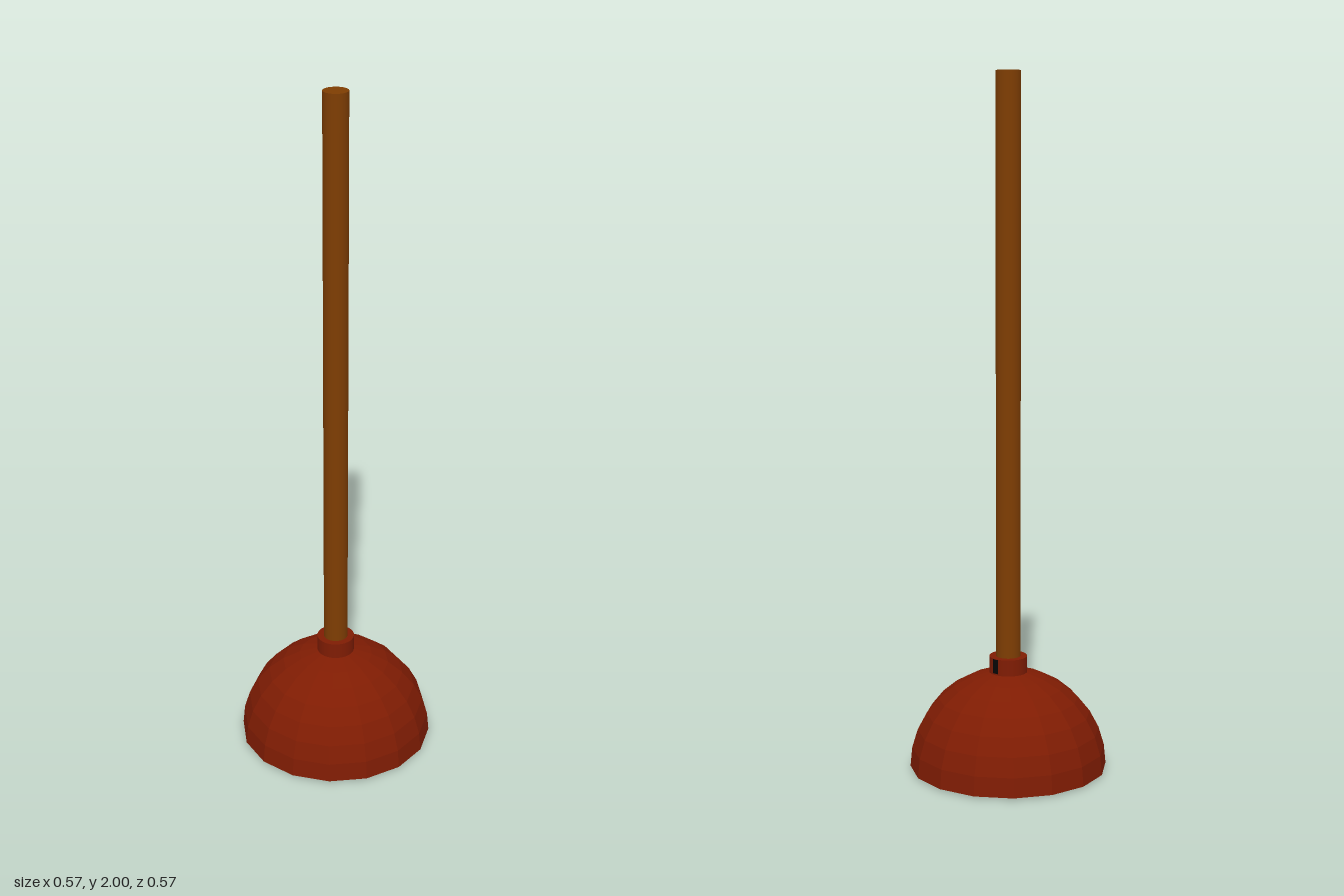
import * as THREE from 'three';

export function createModel() {
  const model = new THREE.Group();
  const paint = (name, color) => {
    const material = new THREE.MeshStandardMaterial({ color });
    material.name = name;
    return material;
  };
  const rubber = paint('red rubber', 0x7f1c03);
  const wood = paint('brown wood', 0x7e3d02);
  const black = paint('black', 0x050505);

  const add = (name, geometry, material, y) => {
    const mesh = new THREE.Mesh(geometry, material);
    mesh.name = name;
    mesh.position.y = y;
    model.add(mesh);
  };

  // Hollow faceted cup: inner dome, slightly sloping rim, outer dome in one profile
  const base = 0.004;
  const arc = (radius) => Array.from({ length: 9 }, (_, i) => {
    const a = (i / 8) * Math.PI / 2;
    return new THREE.Vector2(radius * Math.cos(a), radius * Math.sin(a));
  });
  const inner = arc(0.255).reverse();
  const outer = arc(0.286);
  inner[0].x = outer[8].x = 0;
  inner[8].y = -base;
  const cup = new THREE.LatheGeometry([...inner, ...outer], 16).toNonIndexed();
  cup.computeVertexNormals();
  add('cup', cup, rubber, base);

  // Collar gripping the handle, with a small dark mark at the back left
  add('collar', new THREE.CylinderGeometry(0.055, 0.055, 0.055, 32), rubber, 0.3045);
  add('collarMark', new THREE.CylinderGeometry(0.0555, 0.0555, 0.042, 4, 1, true,
    Math.PI * 0.75 - 0.17, 0.34), black, 0.31);

  // Long round handle
  add('handle', new THREE.CylinderGeometry(0.0355, 0.0355, 1.73, 32), wood, 1.135);

  return model;
}
